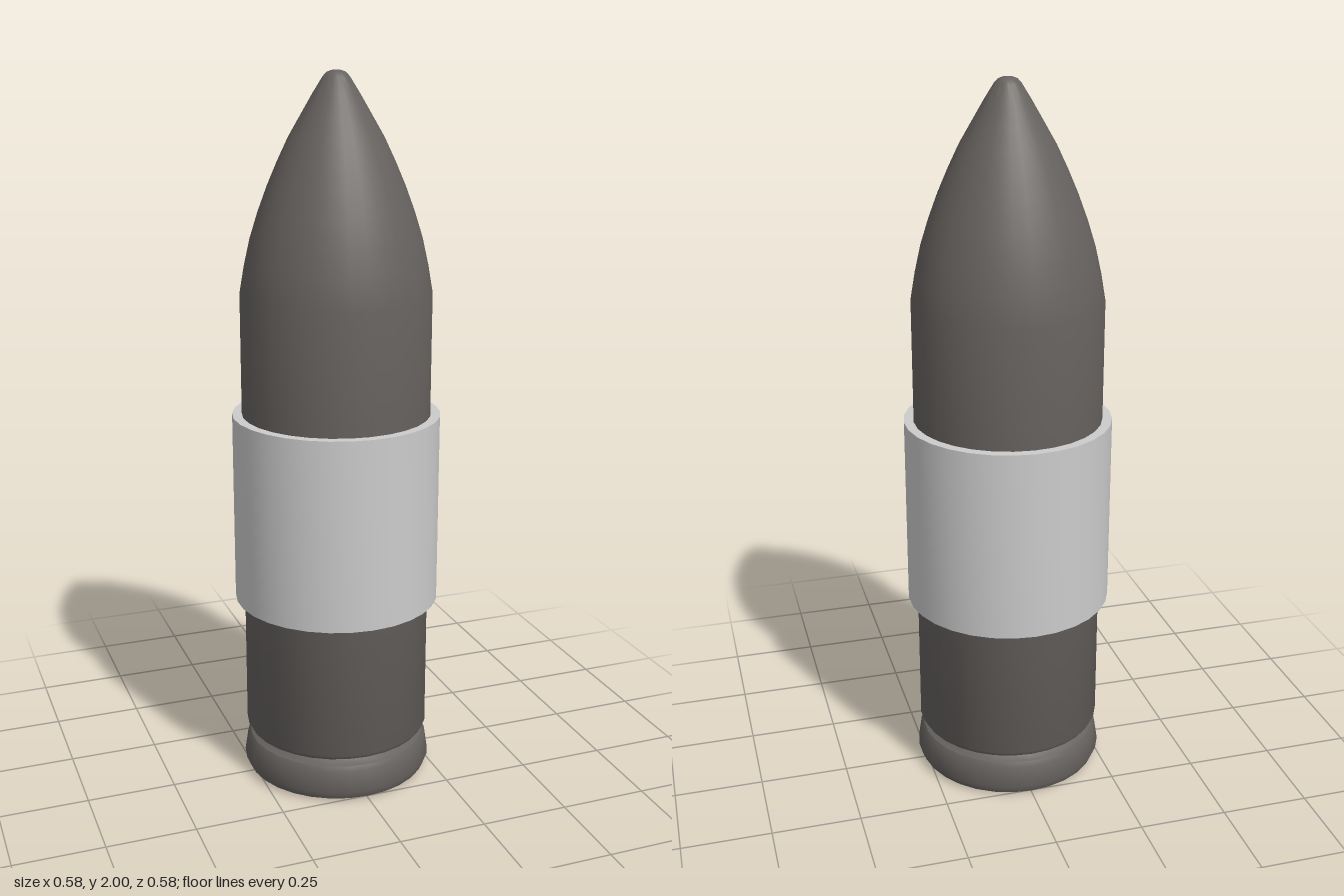
import * as THREE from 'three';
import { toCreasedNormals } from 'three/addons/utils/BufferGeometryUtils.js';

const SIDES = 30;

// Turn a profile of [radius, height] pairs around the y axis
function turned(name, profile, color) {
  const points = profile.map(([r, y]) => new THREE.Vector2(r, y));
  const geometry = toCreasedNormals(new THREE.LatheGeometry(points, SIDES), 0.6);
  const mesh = new THREE.Mesh(geometry, new THREE.MeshStandardMaterial({ color }));
  mesh.name = name;
  return mesh;
}

export function createModel() {
  const model = new THREE.Group();
  model.name = 'cartridge';
  const dark = 0x66625f;

  // Flared base rim with a rounded lower edge, then the extractor groove
  const base = [
    [0, 0], [0.238, 0], [0.262, 0.007], [0.272, 0.03], [0.263, 0.09],
    [0.255, 0.104], [0.238, 0.111], [0.232, 0.116],
  ];
  model.add(turned('baseRim', base, dark));

  // Straight casing running into the pointed nose with a small rounded tip
  const body = [
    [0.232, 0.116], [0.238, 0.122], [0.256, 0.128], [0.264, 0.142],
    [0.264, 1.41], [0.251, 1.485], [0.234, 1.56], [0.212, 1.63],
    [0.186, 1.7], [0.158, 1.765], [0.128, 1.828], [0.095, 1.885],
    [0.063, 1.94], [0.036, 1.983], [0.026, 1.994], [0.013, 1.999], [0, 2],
  ];
  model.add(turned('casingAndNose', body, dark));

  // Pale sleeve around the middle
  const sleeve = [
    [0.262, 0.53], [0.291, 0.53], [0.291, 1.072], [0.262, 1.072], [0.262, 0.53],
  ];
  model.add(turned('sleeve', sleeve, 0xcccccc));

  return model;
}
